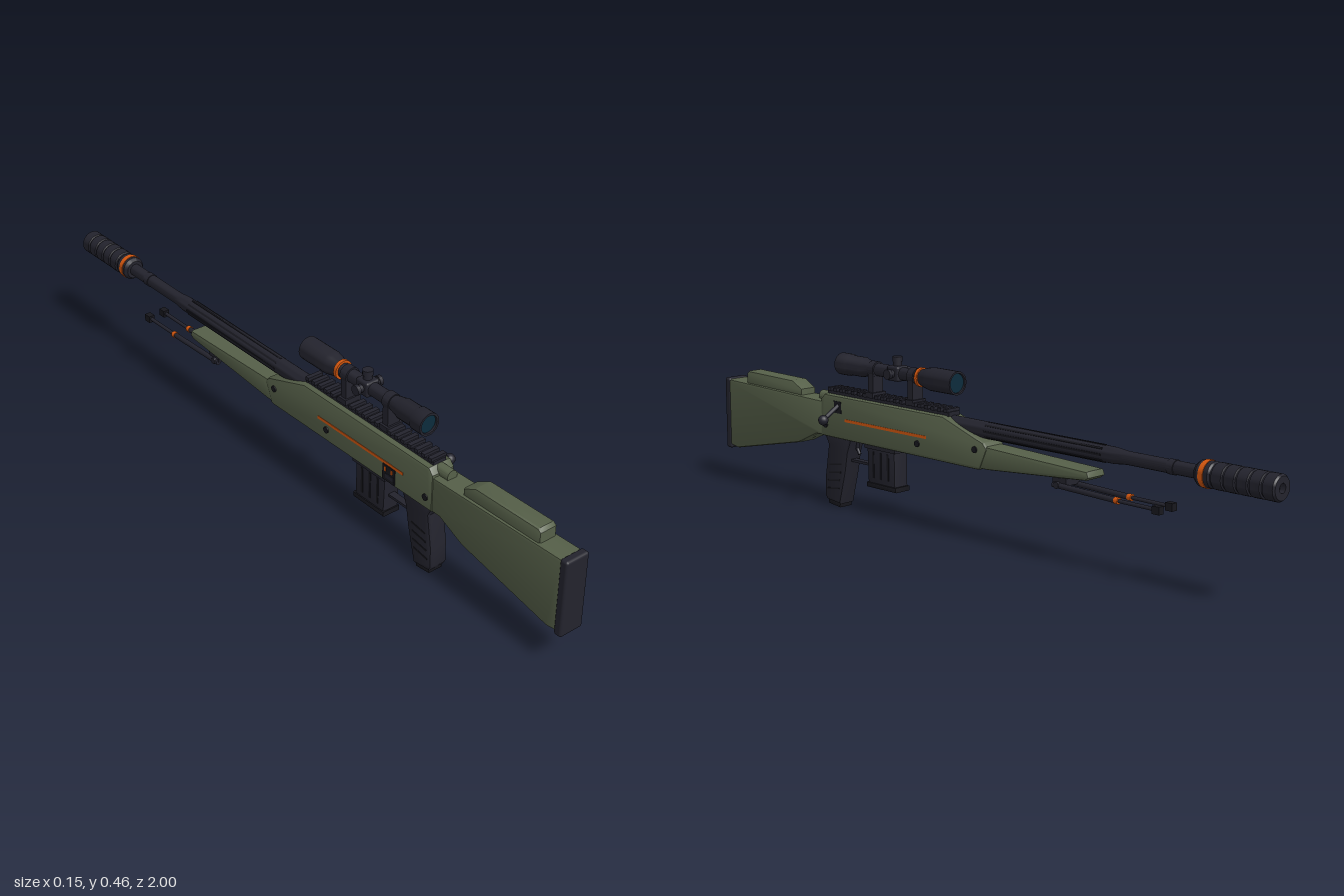
import * as THREE from 'three';
import { toCreasedNormals } from 'three/addons/utils/BufferGeometryUtils.js';
import { RoundedBoxGeometry } from 'three/addons/geometries/RoundedBoxGeometry.js';

const mat = (name, color) => Object.assign(new THREE.MeshStandardMaterial({ color }), { name });

export function createModel() {
  const green = mat('olive green', 0x566049);
  const dark = mat('gunmetal', 0x23232d);
  const black = mat('black', 0x17171d);
  const orange = mat('orange', 0xd2560f);
  const glass = mat('lens teal', 0x0c2c3c);

  const model = new THREE.Group();
  model.name = 'rifle';
  // everything is built around the bore plane, which sits off centre because of the bolt handle
  const body = new THREE.Group();
  body.name = 'rifleBody';
  body.position.x = -0.034;
  model.add(body);

  const add = (name, geo, material, x = 0, y = 0, z = 0) => {
    const m = new THREE.Mesh(geo, material);
    m.name = name;
    m.position.set(x, y, z);
    body.add(m);
    return m;
  };
  const box = (name, material, w, h, d, x, y, z) =>
    add(name, new THREE.BoxGeometry(w, h, d), material, x, y, z);

  // side profile of [z, y] points, extruded across the width with a bevelled edge
  const slab = (name, material, pts, width, bevel = 0.006) => {
    const shape = new THREE.Shape(pts.map(([z, y]) => new THREE.Vector2(z, y)));
    const depth = width - 2 * bevel;
    const geo = new THREE.ExtrudeGeometry(shape, {
      depth, bevelThickness: bevel, bevelSize: bevel, bevelOffset: -bevel, bevelSegments: 2,
    });
    geo.translate(0, 0, -depth / 2);
    geo.rotateY(-Math.PI / 2);
    return add(name, toCreasedNormals(geo, 0.6), material);
  };

  // turned part along z, profile of [radius, z] with z ascending
  const turned = (name, material, y, pts, x = 0, seg = 24) => {
    const geo = new THREE.LatheGeometry(pts.map(([r, z]) => new THREE.Vector2(r, z)), seg);
    geo.rotateX(Math.PI / 2);
    return add(name, toCreasedNormals(geo, 0.6), material, x, y);
  };
  const rod = (name, material, y, r, z0, z1, x = 0, seg = 20) =>
    turned(name, material, y, [[0, z0], [r, z0], [r, z1], [0, z1]], x, seg);

  // cylinder between two points
  const strut = (name, material, a, b, r) => {
    const p = new THREE.Vector3(...a), q = new THREE.Vector3(...b);
    const m = add(name, new THREE.CylinderGeometry(r, r, p.distanceTo(q), 12), material);
    m.position.copy(p).add(q).multiplyScalar(0.5);
    m.quaternion.setFromUnitVectors(new THREE.Vector3(0, 1, 0), q.sub(p).normalize());
  };
  const pin = (name, material, r, w, y, z, x = 0) => {
    const geo = new THREE.CylinderGeometry(r, r, w, 14);
    geo.rotateZ(Math.PI / 2);
    add(name, geo, material, x, y, z);
  };

  // stock
  slab('buttStock', green, [[0.985, 0.315], [0.55, 0.305], [0.55, 0.205], [0.58, 0.205],
    [0.66, 0.168], [0.95, 0.108], [0.985, 0.113]], 0.068, 0.008);
  add('buttPad', new RoundedBoxGeometry(0.072, 0.215, 0.024, 2, 0.007), dark, 0, 0.211, 0.988);
  slab('cheekRest', green, [[0.905, 0.305], [0.905, 0.342], [0.895, 0.349], [0.69, 0.346],
    [0.65, 0.325], [0.65, 0.305]], 0.054, 0.007);

  // receiver and fore-end
  slab('receiver', green, [[0.555, 0.205], [0.555, 0.312], [0.54, 0.328], [0.06, 0.328],
    [-0.09, 0.278], [-0.105, 0.262], [-0.08, 0.206], [-0.07, 0.203]], 0.073, 0.008);
  slab('foreEnd', green, [[-0.05, 0.27], [-0.05, 0.207], [-0.1, 0.207], [-0.44, 0.234],
    [-0.452, 0.243], [-0.446, 0.258], [-0.12, 0.268]], 0.066, 0.007);
  rod('boltShroud', green, 0.313, 0.016, 0.53, 0.585);

  // top rail
  box('railBase', dark, 0.04, 0.012, 0.49, 0, 0.332, 0.295);
  for (let i = 0; i < 20; i++) box('railTooth', dark, 0.048, 0.01, 0.013, 0, 0.341, 0.06 + i * 0.0247);

  // barrel with shallow flutes
  turned('barrel', dark, 0.305, [[0, -0.8], [0.017, -0.8], [0.017, -0.55], [0.021, -0.51],
    [0.023, 0.06], [0, 0.06]]);
  for (let i = 0; i < 8; i++) {
    const a = (i / 8) * Math.PI * 2;
    const f = box('barrelFlute', black, 0.005, 0.003, 0.4, Math.cos(a) * 0.0215, 0.305 + Math.sin(a) * 0.0215, -0.28);
    f.rotation.z = a + Math.PI / 2;
  }
  rod('barrelCollar', dark, 0.305, 0.019, -0.7, -0.68);

  // suppressor with grooves
  const sup = [[0, -0.985], [0.012, -0.985], [0.012, -1], [0.029, -1]];
  for (let i = 0; i < 5; i++) {
    const z = -0.995 + i * 0.036;
    sup.push([0.033, z], [0.033, z + 0.028], [0.029, z + 0.03], [0.029, z + 0.034]);
  }
  sup.push([0.033, -0.812], [0.033, -0.778], [0.026, -0.768], [0, -0.768]);
  turned('suppressor', dark, 0.305, sup);
  rod('suppressorRing', orange, 0.305, 0.0345, -0.8, -0.786, 0, 24);

  // telescopic sight
  const sy = 0.415;
  turned('scopeTube', dark, sy, [[0, 0.046], [0.027, 0.046], [0.027, 0.036], [0.032, 0.036],
    [0.032, 0.13], [0.029, 0.145], [0.018, 0.185], [0.018, 0.365], [0.026, 0.4], [0.028, 0.405],
    [0.028, 0.455], [0.031, 0.46], [0.031, 0.498], [0.025, 0.498], [0.025, 0.488], [0, 0.488]]);
  rod('frontLens', glass, sy, 0.026, 0.041, 0.047, 0, 24);
  rod('rearLens', glass, sy, 0.0245, 0.486, 0.492, 0, 24);
  rod('scopeRing', orange, sy, 0.0265, 0.168, 0.178, 0, 24);
  add('turretHub', new RoundedBoxGeometry(0.042, 0.042, 0.045, 2, 0.006), dark, 0, sy, 0.27);
  add('elevationTurret', new THREE.CylinderGeometry(0.012, 0.012, 0.04, 16), dark, 0, sy + 0.022, 0.27);
  add('elevationCap', new THREE.CylinderGeometry(0.014, 0.014, 0.014, 16), dark, 0, sy + 0.039, 0.27);
  pin('windageTurret', dark, 0.011, 0.076, sy, 0.27);
  for (const s of [1, -1]) pin('windageCap', dark, 0.014, 0.01, sy, 0.27, s * 0.036);
  for (const z of [0.2, 0.36]) {
    box('scopeMount', dark, 0.038, 0.07, 0.02, 0, 0.37, z);
    rod('scopeClamp', dark, sy, 0.0225, z - 0.012, z + 0.012);
    box('mountFoot', dark, 0.05, 0.014, 0.03, 0, 0.345, z);
  }

  // bolt handle
  box('boltSlot', black, 0.004, 0.034, 0.03, 0.036, 0.296, 0.48);
  strut('boltHandle', dark, [0.03, 0.303, 0.48], [0.09, 0.269, 0.478], 0.0065);
  add('boltKnob', new THREE.SphereGeometry(0.0145, 16, 12), dark, 0.092, 0.267, 0.478);

  // pistol grip with finger ribs
  slab('pistolGrip', dark, [[0.55, 0.21], [0.435, 0.21], [0.452, 0.165], [0.462, 0.11],
    [0.488, 0.012], [0.545, 0.018], [0.552, 0.03], [0.55, 0.09], [0.535, 0.18]], 0.056, 0.008);
  slab('gripCap', black, [[0.543, 0.022], [0.491, 0.018], [0.493, 0.001], [0.541, 0.006]], 0.044, 0.002);
  for (let i = 0; i < 4; i++) {
    const rib = box('gripRib', black, 0.058, 0.005, 0.052, 0, 0.055 + i * 0.024, 0.514 - i * 0.004);
    rib.rotation.x = 0.15;
  }

  // magazine
  slab('magazine', dark, [[0.372, 0.21], [0.26, 0.21], [0.258, 0.095], [0.368, 0.095]], 0.05, 0.005);
  slab('magazineBase', black, [[0.372, 0.098], [0.253, 0.098], [0.253, 0.084], [0.372, 0.084]], 0.055, 0.003);
  for (const z of [0.285, 0.315, 0.345]) box('magazineRib', black, 0.053, 0.075, 0.007, 0, 0.15, z);
  box('magazineCollar', dark, 0.06, 0.012, 0.125, 0, 0.201, 0.314);

  // trigger and guard
  box('guardBar', dark, 0.02, 0.007, 0.09, 0, 0.143, 0.41);
  strut('trigger', dark, [0, 0.207, 0.432], [0, 0.178, 0.44], 0.005);
  strut('triggerTip', dark, [0, 0.18, 0.44], [0, 0.163, 0.43], 0.005);

  // painted stripe and pins on both sides
  for (const s of [1, -1]) {
    box('sideStripe', orange, 0.002, 0.008, 0.33, s * 0.0367, 0.262, 0.285);
    for (const [y, z] of [[0.24, 0.533], [0.24, 0.155], [0.257, -0.063]])
      pin('receiverPin', black, 0.009, 0.008, y, z, s * 0.036);
  }

  // safety selector on the right side
  box('selectorPlate', black, 0.005, 0.045, 0.045, -0.037, 0.235, 0.4);
  box('selectorLever', dark, 0.004, 0.012, 0.03, -0.039, 0.228, 0.405);
  for (const z of [0.388, 0.412]) box('selectorMark', orange, 0.002, 0.012, 0.006, -0.0395, 0.246, z);

  // folded bipod
  box('bipodMount', dark, 0.05, 0.022, 0.045, 0, 0.219, -0.35);
  pin('bipodHinge', dark, 0.009, 0.066, 0.208, -0.345);
  for (const s of [1, -1]) {
    const x = s * 0.025;
    strut('bipodLeg', dark, [x, 0.207, -0.33], [x, 0.201, -0.54], 0.0075);
    strut('bipodLegTip', dark, [x, 0.201, -0.53], [x, 0.2, -0.665], 0.005);
    rod('bipodRing', orange, 0.201, 0.0088, -0.545, -0.533, x, 14);
    box('bipodFoot', black, 0.018, 0.02, 0.022, x, 0.2, -0.665);
  }
  return model;
}
